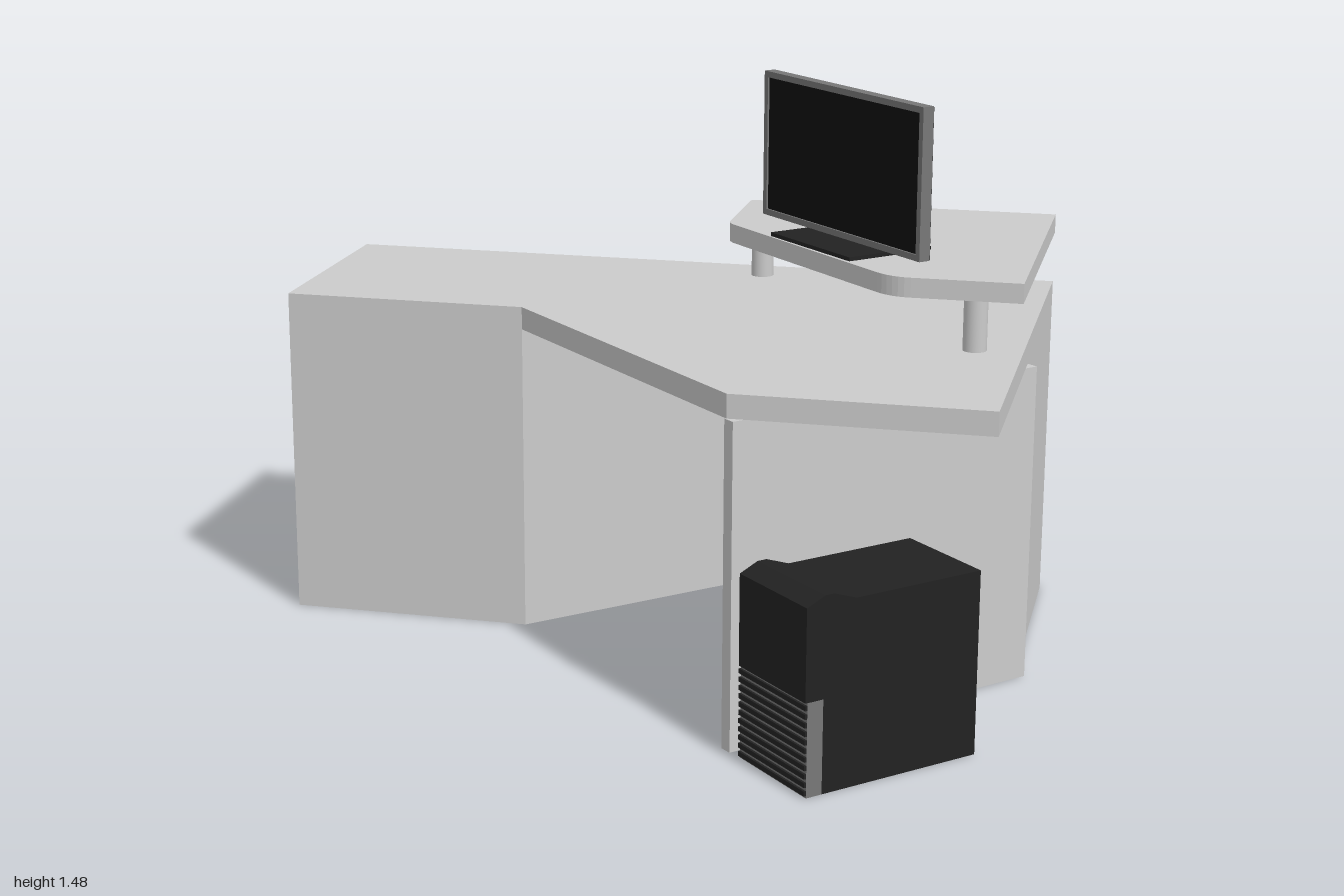
import * as THREE from 'three';

const mat = (color) => new THREE.MeshStandardMaterial({ color });
const grey = mat(0xcccccc);
const greyThin = new THREE.MeshStandardMaterial({ color: 0xcccccc, side: THREE.DoubleSide });
const black = mat(0x222222);
const screenBlack = mat(0x101010);
const trim = mat(0x777777);

function add(parent, name, geometry, material, x = 0, y = 0, z = 0) {
  const mesh = new THREE.Mesh(geometry, material);
  mesh.name = name;
  mesh.position.set(x, y, z);
  parent.add(mesh);
  return mesh;
}

// Box given by its limits
function block(parent, name, material, [x0, x1], [y0, y1], [z0, z1]) {
  return add(parent, name, new THREE.BoxGeometry(x1 - x0, y1 - y0, z1 - z0), material,
    (x0 + x1) / 2, (y0 + y1) / 2, (z0 + z1) / 2);
}

// Upright prism over a floor plan; the shape holds (x, -z)
function prism(parent, name, material, shape, y0, y1) {
  const g = new THREE.ExtrudeGeometry(shape, { depth: y1 - y0, bevelEnabled: false, curveSegments: 6 });
  g.rotateX(-Math.PI / 2);
  return add(parent, name, g, material, 0, y0, 0);
}
const plan = (points) => new THREE.Shape(points.map(([x, z]) => new THREE.Vector2(x, -z)));

// Thin upright wall between two floor points
function wall(parent, name, [x0, z0], [x1, z1], h) {
  const g = new THREE.PlaneGeometry(Math.hypot(x1 - x0, z1 - z0), h);
  const m = add(parent, name, g, greyThin, (x0 + x1) / 2, h / 2, (z0 + z1) / 2);
  m.rotation.y = -Math.atan2(z1 - z0, x1 - x0);
}

function createDesk() {
  const desk = new THREE.Group();
  desk.name = 'desk';
  const under = 0.825;
  prism(desk, 'deskTop', grey, plan([[-1, -0.785], [0.975, -0.785], [0.975, 0.54],
    [0.345, 0.54], [-0.35, -0.155], [-1, -0.155]]), under, 0.885);
  block(desk, 'leftCabinet', grey, [-1, -0.35], [0, under], [-0.785, -0.155]);
  // Outer walls, then the two diagonal walls of the knee space
  wall(desk, 'backWall', [-0.35, -0.785], [0.975, -0.785], under);
  wall(desk, 'sideWall', [0.975, -0.785], [0.975, -0.12], under);
  wall(desk, 'kneeSideWall', [-0.35, -0.155], [0.31, -0.785], under);
  wall(desk, 'kneeBackWall', [0.31, -0.785], [0.975, -0.12], under);
  prism(desk, 'diagonalPanel', grey, plan([[0.34, 0.54], [0.365, 0.563], [1, -0.1], [0.975, -0.12]]), 0, under);
  return desk;
}

function createShelf() {
  const shelf = new THREE.Group();
  shelf.name = 'monitorShelf';
  const s = new THREE.Shape();
  s.moveTo(0.135, 0.788);
  s.lineTo(0.135, 0.5);
  s.quadraticCurveTo(0.135, 0.47, 0.16, 0.445);
  s.lineTo(0.61, -0.015);
  s.quadraticCurveTo(0.65, -0.055, 0.7, -0.055);
  s.lineTo(0.975, -0.055);
  s.lineTo(0.975, 0.788);
  prism(shelf, 'shelfBoard', grey, s, 1.02, 1.07);
  for (const [x, z] of [[0.19, -0.675], [0.855, 0.005]]) {
    add(shelf, 'shelfLeg', new THREE.CylinderGeometry(0.03, 0.03, 0.135, 24), grey, x, 0.9525, z);
  }
  return shelf;
}

function createMonitor() {
  const monitor = new THREE.Group();
  monitor.name = 'monitor';
  const w = 0.345, y0 = 1.09, y1 = 1.475, rim = 0.016;
  block(monitor, 'monitorBack', black, [-w + 0.002, w - 0.002], [y0 + 0.002, y1 - 0.002], [-0.018, 0.008]);
  // Rim around the screen
  block(monitor, 'topRim', trim, [-w, w], [y1 - rim, y1], [-0.016, 0.016]);
  block(monitor, 'bottomRim', trim, [-w, w], [y0, y0 + rim], [-0.016, 0.016]);
  for (const s of [-1, 1]) {
    block(monitor, 'sideRim', trim, [s * (w - rim / 2) - rim / 2, s * (w - rim / 2) + rim / 2],
      [y0 + rim, y1 - rim], [-0.016, 0.016]);
  }
  block(monitor, 'screen', screenBlack, [-w + rim, w - rim], [y0 + rim, y1 - rim], [0.008, 0.011]);
  // Stand
  block(monitor, 'standBase', black, [-0.175, 0.175], [1.07, 1.08], [-0.15, 0.105]);
  add(monitor, 'standNeck', new THREE.CylinderGeometry(0.035, 0.035, 0.165, 20), black, 0, 1.1625, -0.075);
  block(monitor, 'standArm', black, [-0.035, 0.035], [1.205, 1.245], [-0.075, -0.018]);
  monitor.position.set(0.475, 0, -0.285);
  monitor.rotation.y = -Math.PI / 4;
  return monitor;
}

function createComputer() {
  const tower = new THREE.Group();
  tower.name = 'computer';
  const w = 0.1375, front = 0.2475, split = front - 0.05;
  block(tower, 'computerCase', black, [-w, w], [0, 0.465], [-front, split]);
  block(tower, 'upperBezel', black, [-w, w], [0.235, 0.465], [split, front]);
  // Lower grille with slats
  block(tower, 'grille', trim, [-w, w], [0, 0.235], [split, front - 0.006]);
  for (let i = 0; i < 11; i++) {
    const y = 0.006 + i * 0.021;
    block(tower, 'grilleSlat', black, [-w, w], [y, y + 0.012], [front - 0.006, front]);
  }
  // Raised cap with sloping front and back, profile in (z, y)
  const profile = new THREE.Shape([[front, 0.465], [front - 0.05, 0.487], [front - 0.075, 0.487],
    [front - 0.138, 0.465]].map(([z, y]) => new THREE.Vector2(-z, y)));
  const cap = new THREE.ExtrudeGeometry(profile, { depth: 2 * w, bevelEnabled: false });
  cap.rotateY(Math.PI / 2);
  add(tower, 'topCap', cap, black, -w, 0, 0);
  tower.position.set(0.6625, 0, 0.51);
  tower.rotation.y = -Math.PI / 4;
  return tower;
}

export function createModel() {
  const model = new THREE.Group();
  model.name = 'cornerDesk';
  model.add(createDesk(), createShelf(), createMonitor(), createComputer());
  return model;
}
